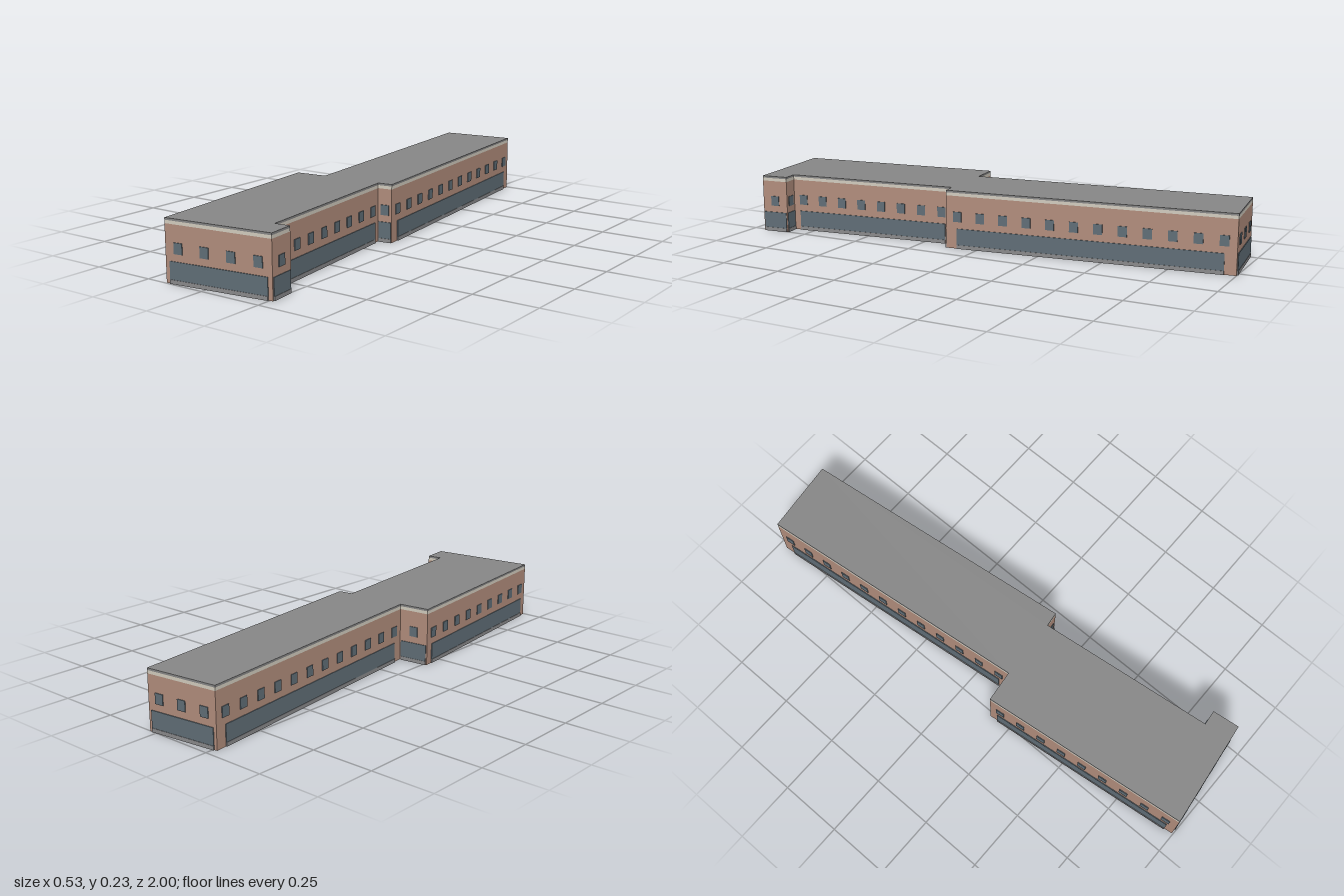
import * as THREE from 'three';

const paint = (name, color) => {
  const m = new THREE.MeshStandardMaterial({ color });
  m.name = name;
  return m;
};

// Footprint corners as [x, z], clockwise seen from above
const FOOTPRINT = [
  [-0.267, -0.965], [0.031, -1.0], [0.165, 0.127], [0.107, 0.134], [0.19, 0.84],
  [0.25, 0.833], [0.263, 0.942], [-0.166, 0.995], [-0.265, 0.16], [-0.14, 0.146],
];

export function createModel() {
  const brick = paint('brick', 0xb5907f);
  const cream = paint('cream', 0xd6d0c2);
  const roofGrey = paint('roofGrey', 0x888888);
  const glass = paint('glass', 0x627079);
  const stone = paint('stone', 0x8c8c8e);

  const building = new THREE.Group();
  building.name = 'building';

  // Stacked layers sharing the footprint
  const shape = new THREE.Shape(FOOTPRINT.map(([x, z]) => new THREE.Vector2(x, -z)));
  const layer = (name, y0, y1, material) => {
    const geo = new THREE.ExtrudeGeometry(shape, { depth: y1 - y0, bevelEnabled: false });
    geo.rotateX(-Math.PI / 2);
    const mesh = new THREE.Mesh(geo, material);
    mesh.name = name;
    mesh.position.y = y0;
    building.add(mesh);
  };
  layer('walls', 0, 0.21, brick);
  layer('cornice', 0.21, 0.222, cream);
  layer('roof', 0.222, 0.23, roofGrey);

  // Each wall carries a shopfront, its plinth and a row of upper windows
  FOOTPRINT.forEach(([x0, z0], i) => {
    const [x1, z1] = FOOTPRINT[(i + 1) % FOOTPRINT.length];
    const length = Math.hypot(x1 - x0, z1 - z0);
    const wall = new THREE.Group();
    wall.name = 'wallDetails';
    wall.position.set((x0 + x1) / 2, 0, (z0 + z1) / 2);
    wall.rotation.y = Math.atan2(z0 - z1, x1 - x0);

    const panel = (name, x, y0, y1, width, thickness, material) => {
      const mesh = new THREE.Mesh(new THREE.BoxGeometry(width, y1 - y0, thickness), material);
      mesh.name = name;
      mesh.position.set(x, (y0 + y1) / 2, 0);
      wall.add(mesh);
    };
    panel('shopfront', 0, 0.015, 0.08, length * 0.92, 0.006, glass);
    panel('plinth', 0, 0, 0.015, length * 0.92, 0.009, stone);

    const count = Math.max(1, Math.floor(length / 0.088));
    for (let k = 0; k < count; k++) {
      const x = ((k + 0.5) / count - 0.5) * length;
      panel('window', x, 0.107, 0.147, 0.035, 0.006, glass);
    }
    building.add(wall);
  });

  return building;
}
